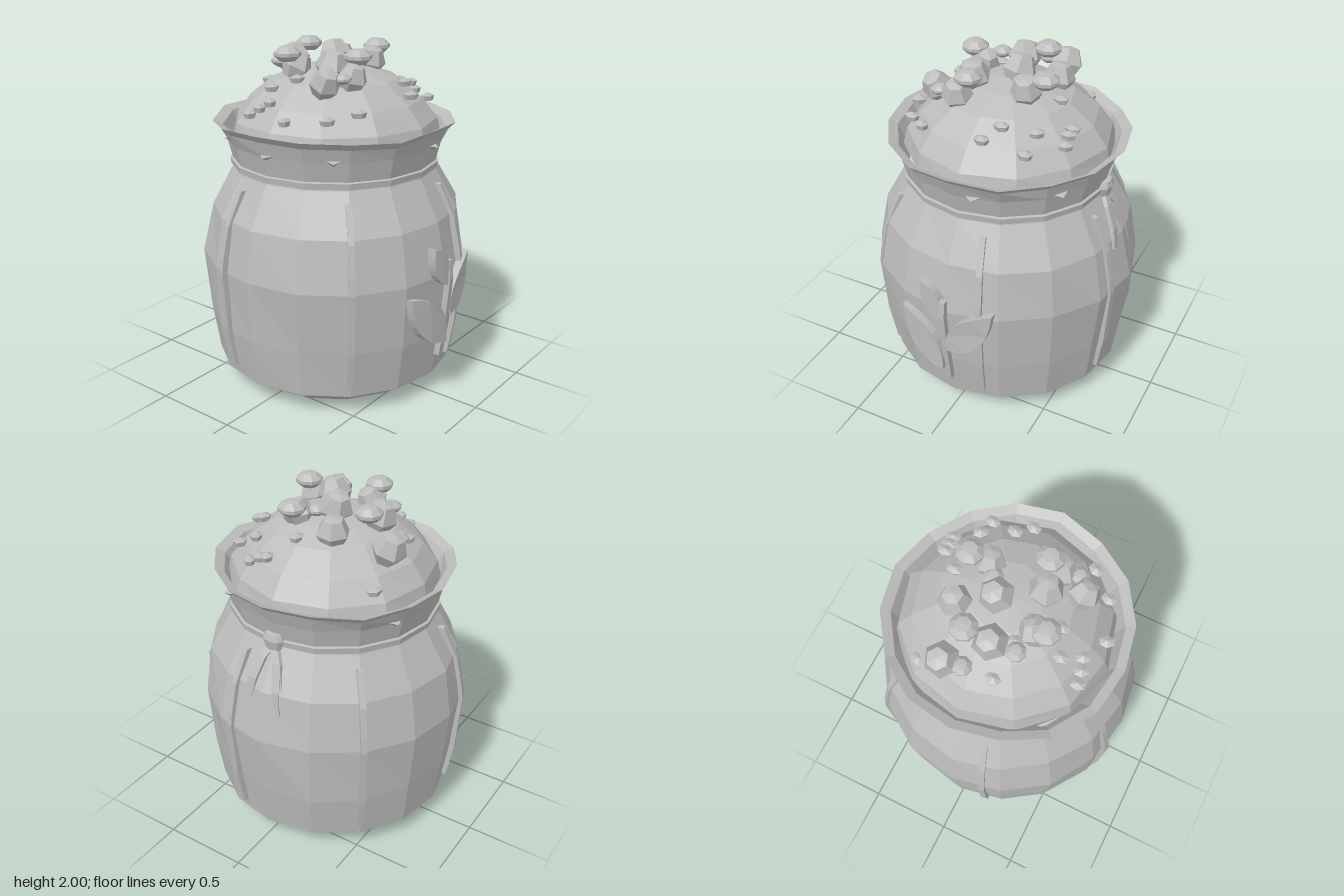
import * as THREE from 'three';

const stone = new THREE.MeshStandardMaterial({ color: 0xbcbcbc });
stone.name = 'pale grey';

// Small seeded generator for tilts
let seed = 7;
const rnd = () => ((seed = (seed * 16807) % 2147483647) / 2147483647);

// Faceted mesh with hard normals
function part(name, geo, parent) {
  const g = geo.index ? geo.toNonIndexed() : geo;
  g.computeVertexNormals();
  const m = new THREE.Mesh(g, stone);
  m.name = name;
  parent.add(m);
  return m;
}

// Move every vertex by a rule
function warp(geo, rule) {
  const p = geo.attributes.position;
  const v = new THREE.Vector3();
  for (let i = 0; i < p.count; i++) {
    v.fromBufferAttribute(p, i);
    rule(v);
    p.setXYZ(i, v.x, v.y, v.z);
  }
  return geo;
}

const lathe = (pts, n) => new THREE.LatheGeometry(pts.map(([r, y]) => new THREE.Vector2(r, y)), n);

// Uneven, hand-shaped rings (periodic, so the seam stays closed)
const uneven = (amount, lift = 0) => (v) => {
  const a = Math.atan2(v.x, v.z);
  const k = 1 + amount * (Math.sin(3 * a + 5 * v.y) + 0.7 * Math.cos(5 * a - 9 * v.y));
  v.x *= k;
  v.z *= k;
  v.y += lift * (Math.sin(4 * a + 1) + Math.cos(7 * a));
};

// Band following a profile in the x-y plane, with width along z
function band(pts, thick, width) {
  const outer = pts.map(([x, y]) => new THREE.Vector2(x, y));
  const inner = pts.map(([x, y]) => new THREE.Vector2(x - thick, y)).reverse();
  const g = new THREE.ExtrudeGeometry(new THREE.Shape([...outer, ...inner]), { depth: width, bevelEnabled: false });
  return g.translate(0, 0, -width / 2);
}

const domeProfile = [[0.61, 1.47], [0.585, 1.57], [0.5, 1.68], [0.36, 1.79], [0.2, 1.85], [0, 1.88]];
function domeY(r) {
  for (let i = domeProfile.length - 1; i > 0; i--) {
    const [r0, y0] = domeProfile[i], [r1, y1] = domeProfile[i - 1];
    if (r <= r1) return y0 + ((r - r0) / (r1 - r0)) * (y1 - y0);
  }
  return 1.5;
}

export function createModel() {
  const model = new THREE.Group();
  model.name = 'sack of nuggets';
  const sack = new THREE.Group();
  sack.name = 'sack';
  sack.position.z = -0.02;
  model.add(sack);

  // Sack body with flat base
  const body = lathe([[0, 0], [0.54, 0], [0.715, 0.12], [0.755, 0.4], [0.785, 0.77], [0.73, 1.06], [0.6, 1.29], [0.58, 1.36]], 16);
  part('body', warp(body, (v) => { if (v.y > 0.2) uneven(0.008)(v); }), sack);

  // Flared collar, outside and inside
  const collar = lathe([[0.585, 1.29], [0.625, 1.45], [0.655, 1.53], [0.695, 1.57], [0.64, 1.545], [0.58, 1.42]], 16);
  part('collar', warp(collar, (v) => { if (v.y > 1.5) uneven(0.012, 0.009)(v); }), sack);

  // Tie cord
  const cord = lathe([[0.58, 1.295], [0.607, 1.3], [0.612, 1.335], [0.58, 1.345]], 16);
  part('cord', cord, sack);

  // Heaped filling
  part('filling', warp(lathe(domeProfile, 12), uneven(0.012)), sack).position.x = 0.01;

  // Seam ribs around the body
  const rib = [[0.735, 0.18], [0.772, 0.4], [0.797, 0.77], [0.785, 0.86], [0.745, 1.04], [0.655, 1.23]];
  for (let i = 0; i < 6; i++) {
    part('seamRib', band(rib, 0.035, 0.035), sack).rotation.y = -THREE.MathUtils.degToRad(15.5 + 60 * i);
  }

  // Small puckers on the collar
  for (const [x, z] of [[0.1, 0.62], [0.5, 0.38], [-0.5, 0.38], [-0.63, 0.02], [-0.45, -0.42], [0.28, -0.56]]) {
    const pucker = part('pucker', new THREE.ConeGeometry(0.07, 0.05, 3).rotateX(Math.PI / 2).scale(1, 0.4, 1), sack);
    pucker.position.set(x, 1.455, z).setLength(Math.hypot(x, z, 1.455));
    pucker.rotation.y = Math.atan2(x, z);
  }

  // Knot and two hanging ends
  const knot = new THREE.Group();
  knot.name = 'knot';
  model.add(knot);
  const lump = lathe([[0, -0.05], [0.05, -0.045], [0.068, 0.01], [0.05, 0.045], [0, 0.05]], 8);
  part('knotLump', lump.scale(0.6, 1, 1), knot).position.set(0.605, 1.33, -0.02);
  const ends = [
    [[[0.61, 1.31], [0.655, 1.24], [0.71, 1.12], [0.73, 1.01]], 0.1],
    [[[0.61, 1.31], [0.66, 1.22], [0.72, 1.08], [0.735, 0.94]], -0.1],
  ];
  for (const [pts, lean] of ends) {
    const strap = warp(band(pts, 0.025, 0.05), (v) => {
      const t = (1.31 - v.y) / 0.33;
      v.z = v.z * (lean < 0 && t > 1 ? 0.3 : 1) - 0.02 + lean * Math.sqrt(Math.max(t, 0));
    });
    part('knotEnd', strap, knot);
  }

  // Sprig on the front: stem and three leaves bent around the sack
  const sprig = new THREE.Group();
  sprig.name = 'sprig';
  model.add(sprig);
  const stem = band([[0.752, 0.26], [0.785, 0.5], [0.805, 0.75], [0.795, 0.86]], 0.035, 0.035);
  part('stem', stem.rotateY(-Math.PI / 2), sprig);
  const leaves = [
    [[-0.01, 0.36], [-0.22, 0.39], [-0.28, 0.53], [-0.295, 0.7], [-0.1, 0.66], [0.0, 0.58]],
    [[0.02, 0.52], [0.18, 0.52], [0.26, 0.61], [0.28, 0.82], [0.11, 0.78], [-0.01, 0.68]],
    [[0.0, 0.71], [-0.12, 0.74], [-0.15, 0.83], [-0.14, 0.96], [-0.04, 0.93], [0.01, 0.87]],
  ];
  for (const [b, c1, c2, tip, c3, c4] of leaves) {
    const s = new THREE.Shape();
    s.moveTo(...b);
    s.bezierCurveTo(...c1, ...c2, ...tip);
    s.bezierCurveTo(...c3, ...c4, ...b);
    const leaf = new THREE.ExtrudeGeometry(s, { depth: 0.05, bevelEnabled: false, curveSegments: 8 });
    part('leaf', warp(leaf, (v) => { v.z += Math.sqrt(0.6 - v.x * v.x) - 0.03; }), sprig);
  }

  // Nuggets: x, y, z, radius
  const heap = new THREE.Group();
  heap.name = 'heap';
  model.add(heap);
  const nuggets = [
    [0.05, 1.91, -0.06, 0.1], [-0.03, 1.88, -0.29, 0.1], [0.16, 1.81, -0.46, 0.1],
    [0.24, 1.86, -0.16, 0.095], [-0.16, 1.89, 0.09, 0.1], [-0.34, 1.83, 0.18, 0.09],
    [-0.2, 1.87, -0.13, 0.09], [0.17, 1.88, 0.11, 0.09], [-0.18, 1.84, 0.24, 0.09],
  ];
  for (const [x, y, z, r] of nuggets) {
    const g = lathe([[0, -0.9], [0.6, -0.85], [1, -0.1], [0.6, 0.75], [0, 0.88]], 6).scale(r, r, r);
    const n = part('nugget', g, heap);
    n.position.set(x, y, z);
    n.rotation.set((rnd() - 0.5) * 0.9, rnd() * 6, (rnd() - 0.5) * 0.9);
  }

  // Flat faceted gems on top
  const gems = [
    [-0.27, 1.945, -0.14, 0.078], [0.11, 1.945, -0.3, 0.078], [0.27, 1.945, 0.08, 0.078], [-0.115, 1.945, 0.23, 0.078],
    [-0.17, 1.88, -0.28, 0.055], [0.05, 1.82, -0.45, 0.055], [0.11, 1.89, 0.03, 0.055], [-0.28, 1.85, 0.25, 0.05],
  ];
  for (const [x, y, z, r] of gems) {
    const g = lathe([[0, -0.55], [0.6, -0.5], [1, -0.12], [1, 0.12], [0.55, 0.5], [0, 0.55]], 8).scale(r, r, r);
    part('gem', g, heap).position.set(x, y, z);
  }

  // Crumbs scattered over the filling
  const crumbs = [
    [-0.5, -0.22], [-0.49, -0.16], [-0.47, -0.1], [-0.37, -0.17], [-0.31, -0.04], [-0.54, 0.06], [-0.45, 0.28],
    [-0.32, 0.39], [0.08, 0.45], [0.15, 0.36], [0.31, 0.41], [0.32, 0.29], [0.45, 0.12], [0.45, 0.17],
    [0.46, 0.23], [0.31, -0.46], [-0.11, -0.42], [0.33, 0.01], [-0.14, -0.22],
  ];
  for (const [x, z] of crumbs) {
    const g = lathe([[0, -0.6], [0.8, -0.5], [1, 0.2], [0, 0.65]], 6).scale(0.047, 0.04, 0.036);
    const c = part('crumb', g, heap);
    c.position.set(x, domeY(Math.hypot(x, z)) + 0.015, z);
    c.rotation.y = (rnd() - 0.5) * 1.2;
  }
  return model;
}
